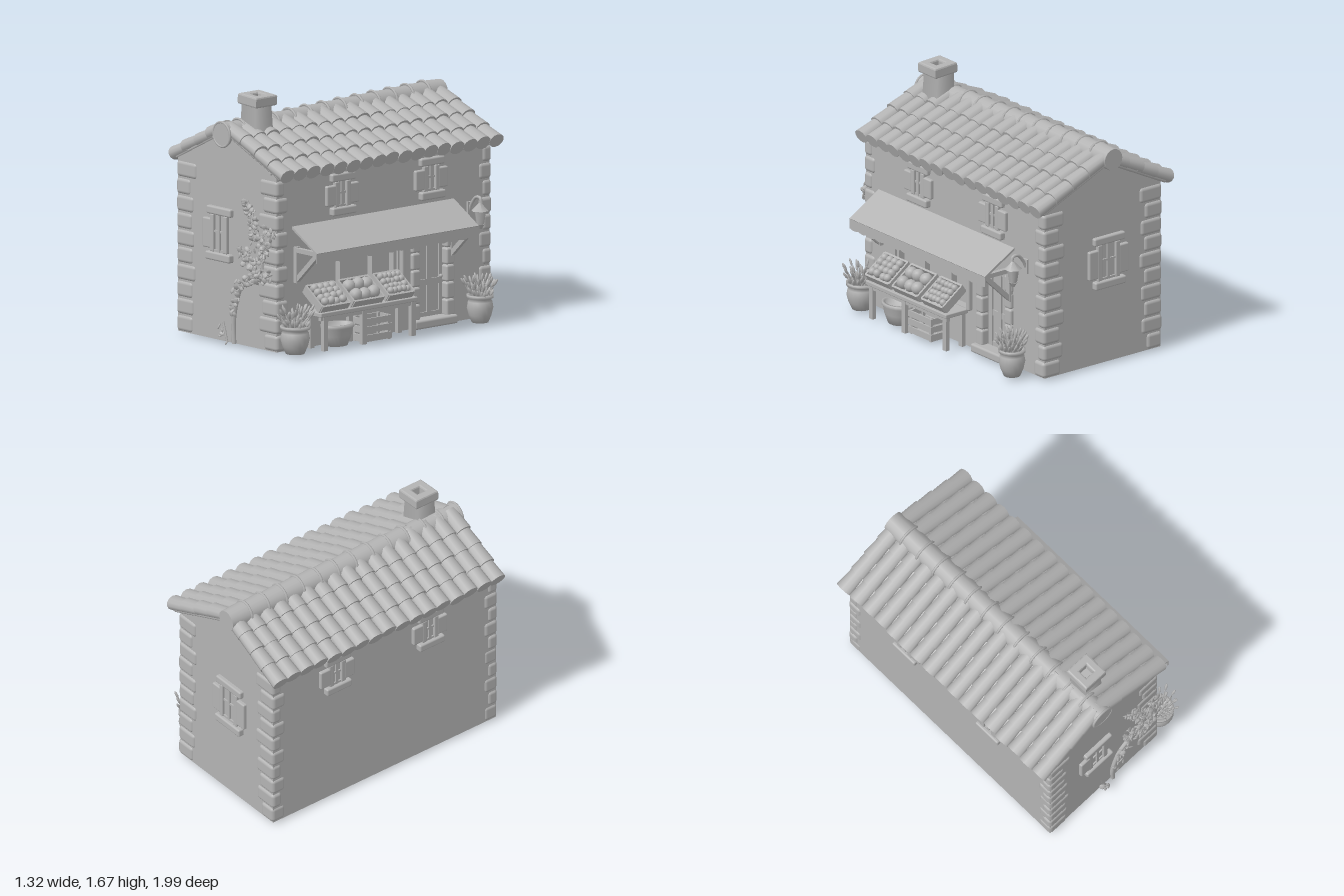
import * as THREE from 'three';
import { RoundedBoxGeometry } from 'three/addons/geometries/RoundedBoxGeometry.js';

const grey = new THREE.MeshStandardMaterial({ color: 0xb3b3b3, side: THREE.DoubleSide });
grey.name = 'plainGrey';

let seed = 7;
const rnd = (a = 0, b = 1) => {
  seed = (seed * 16807) % 2147483647;
  return a + (b - a) * (seed / 2147483647);
};

function add(parent, name, geo, x = 0, y = 0, z = 0) {
  const m = new THREE.Mesh(geo, grey);
  m.name = name;
  m.position.set(x, y, z);
  parent.add(m);
  return m;
}
function group(parent, name, x = 0, y = 0, z = 0, ry = 0) {
  const g = new THREE.Group();
  g.name = name;
  g.position.set(x, y, z);
  g.rotation.y = ry;
  parent.add(g);
  return g;
}
// box given by its limits, optionally with rounded edges
function box(parent, name, x0, x1, y0, y1, z0, z1, r = 0) {
  const s = [x1 - x0, y1 - y0, z1 - z0];
  const geo = r ? new RoundedBoxGeometry(...s, 2, r) : new THREE.BoxGeometry(...s);
  return add(parent, name, geo, (x0 + x1) / 2, (y0 + y1) / 2, (z0 + z1) / 2);
}
const poly = (pts) => new THREE.Shape(pts.map((p) => new THREE.Vector2(...p)));
const extrude = (shape, depth) => new THREE.ExtrudeGeometry(shape, { depth, bevelEnabled: false, curveSegments: 8 });
const tube = (pts, r, n = 20) =>
  new THREE.TubeGeometry(new THREE.CatmullRomCurve3(pts.map((p) => new THREE.Vector3(...p))), n, r, 7);
const lathe = (pts, n = 20) => new THREE.LatheGeometry(pts.map((p) => new THREE.Vector2(...p)), n);

// window facing local +z, centred on its pane
function makeWindow(parent, x, y, z, ry, w, h, shutters) {
  const g = group(parent, 'window', x, y, z, ry);
  const a = w / 2, b = h / 2;
  box(g, 'pane', -a, a, -b, b, 0, 0.006);
  box(g, 'lintel', -a - 0.05, a + 0.06, b, b + 0.055, -0.02, 0.03, 0.012);
  box(g, 'sill', -a - 0.05, a + 0.06, -b - 0.055, -b, -0.02, 0.04, 0.012);
  for (const s of [-1, 1]) {
    box(g, 'jamb', s * a - 0.018, s * a + 0.018, -b, b, -0.01, 0.025, 0.006);
    box(g, 'sash', s * a * 0.42 - a * 0.42, s * a * 0.42 + a * 0.42, -b, -b + 0.015, 0, 0.016);
  }
  box(g, 'mullion', -0.01, 0.01, -b, b, 0, 0.018);
  box(g, 'crossbar', -a, a, b * 0.1 - 0.007, b * 0.1 + 0.007, 0, 0.016);
  shutters.forEach((s) =>
    box(g, 'shutter', s * (a + 0.05) - 0.042, s * (a + 0.05) + 0.042, -b * 0.85, b * 0.75, -0.01, 0.025, 0.01));
}

// one roof slope: local x runs down the slope, local y is its normal
function roofSlope(parent, angle, length, ry) {
  const turn = group(parent, 'roofSlope', -0.12, 1.4, -0.025, ry);
  const g = group(turn, 'tiles');
  g.rotation.z = -angle;
  box(g, 'roofBoard', -0.01, length, 0, 0.05, -0.955, 0.955, 0.015);
  const rows = 4, cols = 17, step = (length + 0.01) / rows, pitch = 1.94 / cols;
  const geo = new THREE.CylinderGeometry(pitch * 0.46, pitch * 0.53, step + 0.035, 12).rotateZ(Math.PI / 2);
  for (let i = 0; i < rows; i++)
    for (let j = 0; j < cols; j++) {
      const t = add(g, 'roofTile', geo, (i + 0.5) * step + rnd(-0.006, 0.006), 0.046 + rnd(-0.003, 0.003), (j + 0.5) * pitch - 0.97);
      t.scale.y = 0.8;
      t.rotation.z = 0.05;
    }
}

function pottedPlant(parent, x, z, r) {
  const g = group(parent, 'pottedPlant', x, 0.01, z);
  add(g, 'pot', lathe([[0, 0], [r * 0.62, 0], [r * 0.85, 0.05], [r * 0.98, 0.1], [r * 0.9, 0.14], [r * 0.8, 0.155],
    [r, 0.165], [r, 0.185], [r * 0.8, 0.185], [r * 0.7, 0.16], [0, 0.16]]));
  const stem = new THREE.ConeGeometry(0.006, 1, 5).translate(0, 0.5, 0);
  const bud = new THREE.SphereGeometry(1, 6, 5);
  for (let i = 0; i < 30; i++) {
    const a = i * 2.4, d = r * 0.55 * Math.sqrt(i / 30), len = rnd(0.1, 0.19), lean = 0.15 + d * 8;
    const s = group(g, 'sprig', Math.cos(a) * d, 0.155, Math.sin(a) * d);
    s.rotation.set(Math.sin(a) * lean, 0, -Math.cos(a) * lean);
    add(s, 'stem', stem).scale.set(1.3, len, 1.3);
    add(s, 'bud', bud, 0, len * 0.85, 0).scale.set(0.009, 0.028, 0.009);
    add(s, 'lowLeaf', bud, 0.012, len * 0.4, 0).scale.set(0.014, 0.025, 0.007);
  }
}

export function createModel() {
  const root = new THREE.Group();
  root.name = 'villageShop';

  // Walls: gabled core plus a pierced shop wall
  add(root, 'houseBody', extrude(poly([[-0.58, 0.01], [0.34, 0.01], [0.34, 1.2], [-0.12, 1.41], [-0.58, 1.18]]), 1.87), 0, 0, -0.945);
  const wall = poly([[-0.925, 0.01], [0.945, 0.01], [0.945, 1.19], [-0.925, 1.19]]);
  wall.holes.push(new THREE.Path([[-0.62, 0.27], [-0.62, 0.62], [0.14, 0.62], [0.14, 0.27]].map((p) => new THREE.Vector2(...p))));
  wall.holes.push(new THREE.Path([[0.31, 0.03], [0.31, 0.64], [0.57, 0.64], [0.57, 0.03]].map((p) => new THREE.Vector2(...p))));
  add(root, 'shopWall', extrude(wall, 0.065).rotateY(Math.PI / 2), 0.335, 0, 0);

  // Corner stones
  for (const sx of [-1, 1]) for (const sz of [-1, 1]) {
    const cx = sx > 0 ? 0.413 : -0.59, cz = sz > 0 ? 0.935 : -0.957;
    for (let i = 0; i < 10; i++) {
      const long = i % 2, lx = (long ? 0.18 : 0.14) + rnd(-0.015, 0.02), lz = long ? 0.08 : 0.11;
      const h = 1.15 / 10;
      add(root, 'cornerStone', new RoundedBoxGeometry(lx, h - 0.004, lz, 3, 0.025),
        cx - sx * lx / 2 + rnd(-0.004, 0.004), 0.01 + h * (i + 0.5), cz - sz * lz / 2);
    }
  }

  // Roof
  roofSlope(root, 0.41, 0.6, 0);
  roofSlope(root, 0.465, 0.54, Math.PI);
  const ridge = new THREE.CylinderGeometry(0.082, 0.074, 0.16, 16).rotateX(Math.PI / 2);
  const lip = new THREE.TorusGeometry(0.082, 0.009, 6, 20);
  for (let i = 0; i < 13; i++) {
    const z = -0.915 + i * 0.149, x = -0.145 + i * 0.0022, y = 1.435 - i * 0.003;
    add(root, 'ridgeTile', ridge, x, y, z);
    add(root, 'ridgeLip', lip, x, y, z + 0.075);
  }

  // Chimney with hollow square cap
  const shaft = new THREE.CylinderGeometry(0.098, 0.112, 0.3, 4).rotateY(Math.PI / 4);
  add(root, 'chimneyShaft', shaft, -0.04, 1.44, 0.71).rotation.z = 0.03;
  const cap = poly([[-0.08, -0.08], [0.08, -0.08], [0.08, 0.08], [-0.08, 0.08]]);
  cap.holes.push(new THREE.Path([[-0.045, -0.045], [-0.045, 0.045], [0.045, 0.045], [0.045, -0.045]].map((p) => new THREE.Vector2(...p))));
  const capGeo = new THREE.ExtrudeGeometry(cap, { depth: 0.05, bevelSize: 0.012, bevelThickness: 0.012, bevelSegments: 2 });
  add(root, 'chimneyCap', capGeo.rotateX(-Math.PI / 2), -0.035, 1.592, 0.71).rotation.z = -0.05;

  // Windows
  makeWindow(root, -0.155, 0.725, 0.925, 0, 0.13, 0.25, [-1]);
  makeWindow(root, -0.13, 0.72, -0.945, Math.PI, 0.15, 0.25, [-1, 1]);
  for (const z of [0.36, -0.42]) {
    makeWindow(root, 0.4, 1.005, z, Math.PI / 2, 0.1, 0.17, [-1, 1]);
    makeWindow(root, -0.58, 1.005, z, -Math.PI / 2, 0.1, 0.17, [-1, 1]);
  }

  // Shop window
  const shop = group(root, 'shopWindow');
  for (const z of [0.61, 0.34, 0.06, -0.13]) box(shop, 'shopMullion', 0.34, 0.385, 0.27, 0.62, z - 0.014, z + 0.014);
  box(shop, 'shopRail', 0.34, 0.38, 0.595, 0.62, -0.14, 0.62);
  box(shop, 'shopPost', 0.38, 0.43, 0.27, 0.62, -0.19, -0.155, 0.01);

  // Door with stone surround
  const door = group(root, 'door');
  box(door, 'doorLeaf', 0.34, 0.36, 0.06, 0.62, -0.56, -0.33);
  for (const z of [-0.345, -0.44, -0.545]) box(door, 'doorStile', 0.355, 0.372, 0.06, 0.62, z - 0.018, z + 0.018);
  for (const y of [0.08, 0.3, 0.6]) box(door, 'doorRail', 0.355, 0.37, y - 0.02, y + 0.02, -0.56, -0.33);
  add(door, 'doorKnob', new THREE.SphereGeometry(0.013, 10, 8), 0.385, 0.33, -0.53);
  for (const z of [-0.285, -0.585])
    for (let i = 0; i < 5; i++)
      box(door, 'doorStone', 0.36, 0.425, 0.06 + i * 0.115, 0.172 + i * 0.115, z - 0.036, z + 0.036, 0.015);
  box(door, 'threshold', 0.34, 0.46, 0.01, 0.07, -0.62, -0.24, 0.015);

  // Awning with scalloped valance and timber brackets
  const awning = group(root, 'awning');
  add(awning, 'awningCloth', extrude(poly([[0.4, 0.82], [0.64, 0.682], [0.65, 0.692], [0.4, 0.838]]), 1.42), 0, 0, -0.63);
  const val = new THREE.Shape();
  val.moveTo(-0.79, 0.69);
  for (let i = 0; i < 16; i++) {
    const u = -0.79 + (i * 1.42) / 16;
    val.lineTo(u, 0.622);
    val.quadraticCurveTo(u + 0.044, 0.604, u + 0.0887, 0.622);
  }
  val.lineTo(0.63, 0.69);
  add(awning, 'valance', extrude(val, 0.008).rotateY(Math.PI / 2), 0.638, 0, 0);
  for (const z of [0.76, -0.6]) {
    box(awning, 'bracketArm', 0.4, 0.64, 0.665, 0.695, z - 0.015, z + 0.015);
    box(awning, 'bracketPost', 0.4, 0.43, 0.46, 0.7, z - 0.018, z + 0.018);
    const brace = box(awning, 'bracketBrace', -0.14, 0.14, -0.016, 0.016, -0.014, 0.014);
    brace.position.set(0.52, 0.575, z);
    brace.rotation.z = 0.76;
  }
  box(awning, 'frontBeam', 0.61, 0.635, 0.665, 0.69, -0.62, 0.78);

  // Produce table with sloping crates
  const table = group(root, 'produceTable');
  box(table, 'tableTop', 0.4, 0.59, 0.24, 0.27, -0.15, 0.7, 0.006);
  for (const z of [0.65, 0.31, -0.12])
    for (const x of [0.43, 0.565]) box(table, 'tableLeg', x - 0.015, x + 0.015, 0.01, 0.24, z - 0.018, z + 0.018);
  box(table, 'tableApron', 0.55, 0.575, 0.215, 0.24, -0.14, 0.69);
  const fruit = new THREE.SphereGeometry(1, 10, 7);
  [[0.57, 0.24, 0.028], [0.28, 0.26, 0.045], [-0.005, 0.22, 0.024]].forEach(([z, w, r]) => {
    const c = group(table, 'produceCrate', 0.495, 0.35, z);
    c.rotation.z = -0.62;
    const a = w / 2;
    box(c, 'crateBase', -0.1, 0.1, -0.03, -0.015, -a, a);
    for (const s of [-1, 1]) {
      box(c, 'crateSide', -0.1, 0.1, -0.03, 0.03, s * a - 0.007, s * a + 0.007);
      box(c, 'crateEnd', s * 0.1 - 0.007, s * 0.1 + 0.007, -0.03, 0.03, -a, a);
    }
    const nx = Math.round(0.17 / (r * 1.7)), nz = Math.round((w - 0.03) / (r * 1.7));
    for (let i = 0; i < nx; i++)
      for (let j = 0; j < nz; j++)
        add(c, 'produce', fruit, -0.085 + (0.17 * (i + 0.5)) / nx, 0.02 + rnd(0, 0.016), -a + 0.015 + ((w - 0.03) * (j + 0.5)) / nz)
          .scale.set(r, r * rnd(0.9, 1.2), r);
  });

  // Basket and slatted crate below the table
  add(root, 'basket', lathe([[0, 0], [0.075, 0], [0.105, 0.07], [0.115, 0.12], [0.125, 0.125], [0.122, 0.145], [0.1, 0.145], [0.09, 0.1], [0, 0.09]]),
    0.495, 0.015, 0.475).scale.x = 0.75;
  const crate = group(root, 'slattedCrate');
  for (let i = 0; i < 3; i++) {
    const y = 0.02 + i * 0.055;
    for (const x of [0.43, 0.55]) box(crate, 'longSlat', x - 0.006, x + 0.006, y, y + 0.042, 0.05, 0.29);
    for (const z of [0.056, 0.284]) box(crate, 'endSlat', 0.43, 0.55, y, y + 0.042, z - 0.006, z + 0.006);
  }
  for (const x of [0.44, 0.54]) for (const z of [0.068, 0.272]) box(crate, 'cratePost', x - 0.01, x + 0.01, 0.01, 0.175, z - 0.01, z + 0.01);
  box(crate, 'crateFloor', 0.43, 0.55, 0.015, 0.03, 0.05, 0.29);

  pottedPlant(root, 0.5, 0.85, 0.1);
  pottedPlant(root, 0.52, -0.755, 0.09);

  // Wall lantern
  const lamp = group(root, 'lantern', 0.515, 0, -0.76);
  add(lamp, 'lanternArm', tube([[-0.11, 0.74, 0], [-0.085, 0.79, 0], [-0.04, 0.84, 0], [0, 0.84, 0], [0.01, 0.81, 0]], 0.011));
  box(lamp, 'wallPlate', -0.115, -0.1, 0.7, 0.8, -0.02, 0.02);
  add(lamp, 'lanternRoof', new THREE.ConeGeometry(0.06, 0.06, 6), 0, 0.785, 0);
  add(lamp, 'lanternGlass', new THREE.CylinderGeometry(0.042, 0.026, 0.1, 6), 0, 0.71, 0);
  add(lamp, 'lanternFoot', new THREE.CylinderGeometry(0.03, 0.012, 0.03, 6), 0, 0.648, 0);

  // Climbing vine on the gable
  const vine = group(root, 'vine');
  const leaf = new THREE.SphereGeometry(1, 7, 4);
  const branches = [
    [[-0.01, 0.01], [-0.015, 0.15], [0.01, 0.28], [0.06, 0.4], [0.15, 0.47], [0.27, 0.55]],
    [[0.27, 0.55], [0.27, 0.68], [0.22, 0.8], [0.17, 0.9], [0.12, 0.99]],
    [[0.2, 0.55], [0.13, 0.62], [0.1, 0.66]],
    [[0.26, 0.64], [0.33, 0.72], [0.36, 0.83]],
    [[0.15, 0.47], [0.27, 0.49], [0.37, 0.53]],
    [[-0.08, 0.01], [-0.1, 0.08], [-0.12, 0.14]],
  ];
  branches.forEach((pts, k) => {
    const path = pts.map(([x, y]) => [x, y, 0.935]);
    add(vine, 'vineStem', tube(path, k ? 0.008 : 0.016, 24));
    const curve = new THREE.CatmullRomCurve3(path.map((p) => new THREE.Vector3(...p)));
    const n = [34, 72, 24, 32, 28, 6][k], spread = [0.035, 0.06, 0.045, 0.05, 0.04, 0.02][k];
    for (let i = 0; i < n; i++) {
      const t = k ? 0.1 + (0.9 * i) / n : 0.3 + (0.7 * i) / n, p = curve.getPoint(t);
      const w = spread * (k === 1 ? 1.3 - t * 0.8 : 1);
      const m = add(vine, 'vineLeaf', leaf, p.x + rnd(-w, w), p.y + rnd(-0.03, 0.03), 0.95 + rnd(-0.012, 0.025));
      m.scale.set(rnd(0.016, 0.026), rnd(0.013, 0.02), 0.006);
      m.rotation.set(rnd(-0.7, 0.7), rnd(-0.7, 0.7), rnd(0, 3));
    }
  });
  return root;
}
